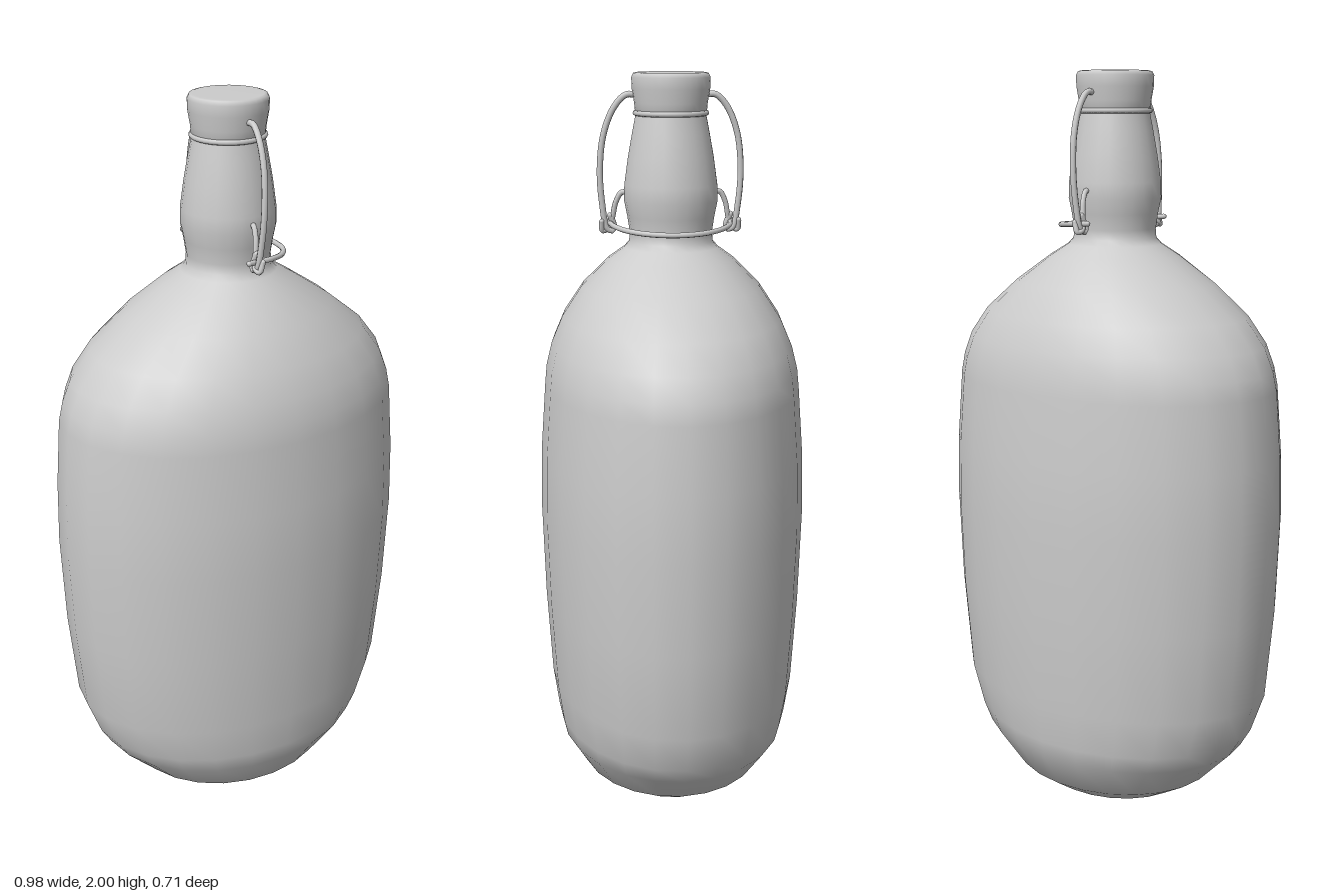
import * as THREE from 'three';
import { mergeVertices } from 'three/addons/utils/BufferGeometryUtils.js';

const mat = new THREE.MeshStandardMaterial({ color: 0xcccccc });

function add(parent, geometry, name) {
  const mesh = new THREE.Mesh(geometry, mat);
  mesh.name = name;
  parent.add(mesh);
}

// Stack of elliptical rings [y, half width, half depth], smooth all round
function ellipticalLathe(rings, sides) {
  const geo = new THREE.LatheGeometry(rings.map(([y, rx]) => new THREE.Vector2(rx, y)), sides);
  const pos = geo.attributes.position;
  for (let i = 0; i < pos.count; i++) {
    const [, rx, rz] = rings[i % rings.length];
    if (rx > 0) pos.setZ(i, pos.getZ(i) * rz / rx);
  }
  geo.deleteAttribute('uv');
  geo.deleteAttribute('normal');
  const merged = mergeVertices(geo, 1e-5);
  merged.computeVertexNormals();
  return merged;
}

// Round wire through a few points, with closed ends
function wire(parent, points, radius, name) {
  const pts = points.map(p => new THREE.Vector3(...p));
  const curve = new THREE.CatmullRomCurve3(pts);
  add(parent, new THREE.TubeGeometry(curve, points.length * 6, radius, 8), name);
  for (const p of [pts[0], pts[pts.length - 1]]) {
    add(parent, new THREE.SphereGeometry(radius, 8, 6).translate(p.x, p.y, p.z), name + 'End');
  }
}

export function createModel() {
  const group = new THREE.Group();
  group.name = 'swingTopBottle';

  // Flattened oval body, shoulder and round neck
  add(group, ellipticalLathe([
    [0.005, 0, 0], [0.01, 0.08, 0.06], [0.022, 0.15, 0.12], [0.05, 0.215, 0.185], [0.10, 0.295, 0.255],
    [0.20, 0.39, 0.312], [0.25, 0.42, 0.322], [0.36, 0.46, 0.337], [0.60, 0.482, 0.35],
    [0.85, 0.491, 0.356], [1.02, 0.486, 0.352], [1.20, 0.472, 0.338], [1.25, 0.46, 0.333],
    [1.31, 0.435, 0.318], [1.38, 0.38, 0.288], [1.46, 0.28, 0.235], [1.53, 0.175, 0.165],
    [1.56, 0.125, 0.123], [1.575, 0.11, 0.11], [1.60, 0.108, 0.108], [1.64, 0.114, 0.114],
    [1.68, 0.122, 0.122], [1.72, 0.121, 0.121], [1.79, 0.111, 0.111], [1.85, 0.10, 0.10],
    [1.90, 0.09, 0.09],
  ], 24), 'bottle');

  // Stopper with a slightly flared side and a softened top edge
  const cap = [[0, 1.895], [0.085, 1.895], [0.092, 1.903], [0.094, 1.925], [0.10, 1.96],
    [0.101, 1.988], [0.096, 1.998], [0.088, 2], [0, 2]];
  add(group, new THREE.LatheGeometry(cap.map(p => new THREE.Vector2(...p)), 32), 'stopper');

  // Seal under the stopper
  add(group, new THREE.TorusGeometry(0.091, 0.007, 8, 32).rotateX(Math.PI / 2).translate(0, 1.9, 0), 'seal');

  // Wire clasp, mirrored front and back
  for (const s of [1, -1]) {
    const side = s > 0 ? 'front' : 'back';
    wire(group, [[0, 1.945, 0.085 * s], [0, 1.945, 0.115 * s], [-0.002, 1.915, 0.145 * s],
      [-0.005, 1.85, 0.172 * s], [-0.009, 1.76, 0.183 * s], [-0.013, 1.67, 0.178 * s],
      [-0.018, 1.605, 0.165 * s], [-0.02, 1.60, 0.15 * s], [-0.018, 1.615, 0.148 * s],
      [-0.014, 1.64, 0.158 * s]], 0.008, side + 'BailWire');
    wire(group, [[0, 1.70, 0.112 * s], [-0.004, 1.70, 0.128 * s], [-0.008, 1.675, 0.143 * s],
      [-0.015, 1.63, 0.153 * s], [-0.022, 1.605, 0.164 * s], [-0.018, 1.60, 0.178 * s],
      [-0.01, 1.625, 0.18 * s]], 0.007, side + 'PivotWire');
  }

  // Lever loop swinging round one side of the neck
  const half = [[-0.04, 1.622, 0.165], [-0.015, 1.62, 0.158], [0.035, 1.617, 0.148],
    [0.085, 1.612, 0.118], [0.12, 1.608, 0.068]];
  const back = half.map(([x, y, z]) => [x, y, -z]).reverse();
  wire(group, [...half, [0.133, 1.606, 0], ...back], 0.007, 'leverLoop');

  return group;
}
